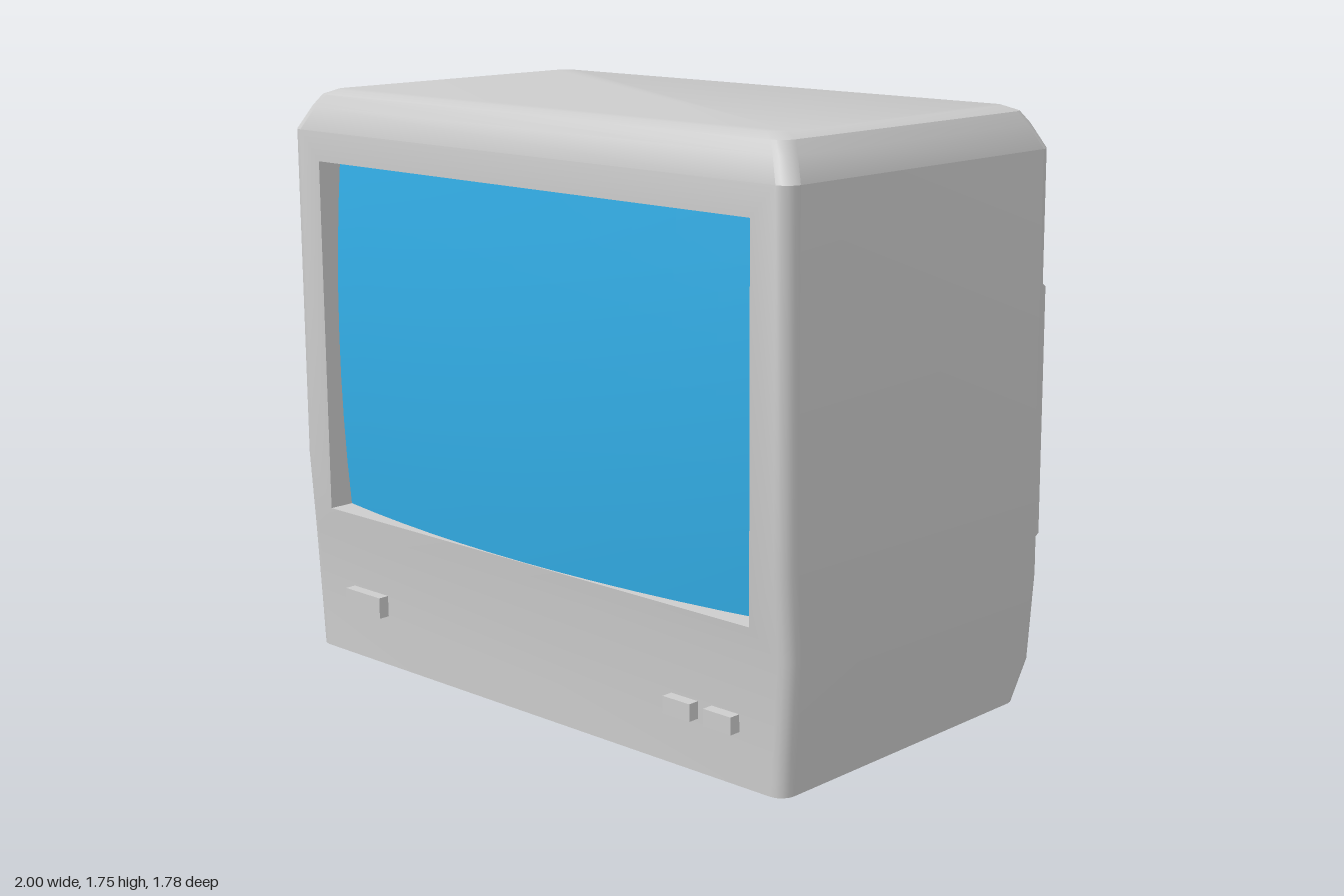
import * as THREE from 'three';
import { toCreasedNormals } from 'three/addons/utils/BufferGeometryUtils.js';

// Collects quads and triangles (corners counter-clockwise from outside)
function faceBuilder() {
  const pos = [];
  const tri = (a, b, c) => pos.push(...a, ...b, ...c);
  const quad = (a, b, c, d) => { tri(a, b, c); tri(a, c, d); };
  const build = (crease) => {
    const g = new THREE.BufferGeometry();
    g.setAttribute('position', new THREE.Float32BufferAttribute(pos, 3));
    return toCreasedNormals(g, crease);
  };
  return { tri, quad, build };
}

// Rounded rectangle at height y
function ring(y, hw, zb, zf, r) {
  const pts = [], n = 4;
  const corners = [[hw - r, zf - r], [-hw + r, zf - r], [-hw + r, zb + r], [hw - r, zb + r]];
  corners.forEach(([cx, cz], k) => {
    for (let i = 0; i <= n; i++) {
      const a = (k + i / n) * Math.PI / 2;
      pts.push([cx + r * Math.cos(a), y, cz + r * Math.sin(a)]);
    }
  });
  return pts;
}

// Casing: stacked sections with an open front for the screen
function casingGeometry() {
  const rows = [
    [0, 0.975, -0.2, 0.85, 0.045],
    [0.12, 0.983, -0.265, 0.85, 0.045],
    [0.38, 1, -0.27, 0.852, 0.045],
    [0.62, 1, -0.27, 0.868, 0.045],
    [1.63, 1, -0.27, 0.868, 0.045],
    [1.7, 0.962, -0.242, 0.836, 0.045],
    [1.735, 0.937, -0.222, 0.815, 0.045],
    [1.75, 0.9, -0.19, 0.785, 0.045],
  ].map((s) => ring(...s));
  const f = faceBuilder();
  const n = rows[0].length;
  for (let i = 0; i < rows.length - 1; i++) {
    for (let j = 0; j < n; j++) {
      if (j === 4 && (i === 2 || i === 3)) continue; // screen frame goes here
      const k = (j + 1) % n;
      f.quad(rows[i][j], rows[i + 1][j], rows[i + 1][k], rows[i][k]);
    }
  }
  // Top and bottom caps
  const top = rows[rows.length - 1], bottom = rows[0];
  for (let j = 1; j < n - 1; j++) {
    f.tri(top[0], top[j + 1], top[j]);
    f.tri(bottom[0], bottom[j], bottom[j + 1]);
  }
  // Frame around the screen and the walls of its opening
  const [r0, r1, r2] = [2, 3, 4].map((i) => rows[i][4]);
  const [l0, l1, l2] = [2, 3, 4].map((i) => rows[i][5]);
  const w = 0.87, y0 = 0.46, y1 = 1.54, z = 0.868, zi = 0.74;
  const inner = [[-w, y0], [w, y0], [w, y1], [-w, y1]];
  const [a, b, c, d] = inner.map(([x, y]) => [x, y, z]);
  f.quad(l0, r0, b, a);
  f.tri(r0, r1, b);
  f.quad(r1, r2, c, b);
  f.quad(r2, l2, d, c);
  f.quad(l2, l1, a, d);
  f.tri(l1, l0, a);
  inner.forEach(([x, y], i) => {
    const [u, v] = inner[(i + 1) % 4];
    f.quad([x, y, z], [u, v, z], [u, v, zi], [x, y, zi]);
  });
  return f.build(0.5);
}

// Tapered housing behind the casing
function housingGeometry() {
  const f = faceBuilder();
  const rect = (w, y0, y1, z) => [[-w, y0, z], [w, y0, z], [w, y1, z], [-w, y1, z]];
  const front = rect(0.72, 0.13, 1.4, -0.265);
  const back = rect(0.56, 0.285, 1.1, -0.89);
  for (let i = 0; i < 4; i++) {
    const k = (i + 1) % 4;
    f.quad(front[i], back[i], back[k], front[k]);
  }
  f.quad(back[1], back[0], back[3], back[2]);
  return f.build(0.1);
}

// Bulging screen
function screenGeometry() {
  const g = new THREE.PlaneGeometry(1.74, 1.08, 12, 8);
  const p = g.attributes.position;
  for (let i = 0; i < p.count; i++) {
    const x = p.getX(i), y = p.getY(i);
    p.setZ(i, 0.89 - 0.1 * x * x - 0.09 * y * y);
  }
  g.translate(0, 1, 0);
  g.computeVertexNormals();
  return g;
}

export function createModel() {
  const group = new THREE.Group();
  const plastic = new THREE.MeshStandardMaterial({ color: 0xcccccc });
  plastic.name = 'grey plastic';
  const glass = new THREE.MeshStandardMaterial({ color: 0x34b2ec });
  glass.name = 'blue glass';

  const add = (name, geometry, material) => {
    const mesh = new THREE.Mesh(geometry, material);
    mesh.name = name;
    group.add(mesh);
    return mesh;
  };

  add('casing', casingGeometry(), plastic);
  add('rearHousing', housingGeometry(), plastic);
  add('screen', screenGeometry(), glass);

  // Front buttons: x, y, width, height
  [
    ['powerButton', -0.71, 0.19, 0.16, 0.065],
    ['innerButton', 0.62, 0.178, 0.1, 0.05],
    ['outerButton', 0.77, 0.178, 0.1, 0.05],
  ].forEach(([name, x, y, w, h]) => {
    add(name, new THREE.BoxGeometry(w, h, 0.045), plastic).position.set(x, y, 0.8625);
  });

  return group;
}
